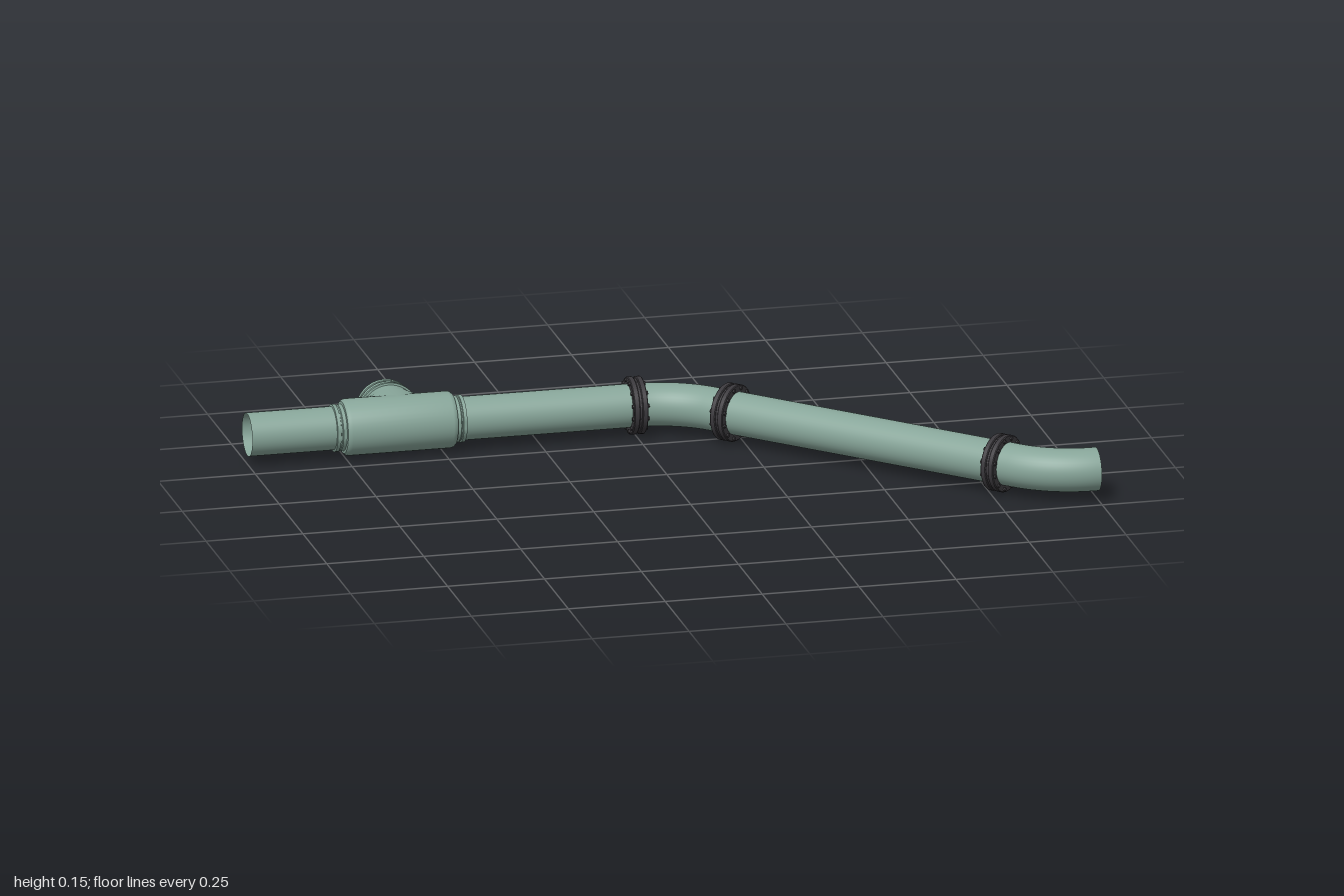
import * as THREE from 'three';
import { toCreasedNormals } from 'three/addons/utils/BufferGeometryUtils.js';

const Y = 0.078, R = 0.055, BEND = 0.25;
const Z0 = -0.335, Z1 = 0.443;
const T = BEND * Math.tan(Math.PI / 8), S = Math.SQRT1_2;

const paint = new THREE.MeshStandardMaterial({ color: 0x87a599, side: THREE.DoubleSide });
const dark = new THREE.MeshStandardMaterial({ color: 0x3b393d });
const wheelPaint = new THREE.MeshStandardMaterial({ color: 0x1f3a31 });

const v = (x, z) => new THREE.Vector3(x, Y, z);
const lathe = (pts, seg = 40) =>
  new THREE.LatheGeometry(pts.map(([r, h]) => new THREE.Vector2(r, h)), seg);

function add(parent, name, geo, mat) {
  const m = new THREE.Mesh(geo, mat);
  m.name = name;
  parent.add(m);
  return m;
}

// open straight pipe between two points
function pipe(parent, name, a, b) {
  const d = b.clone().sub(a);
  const m = add(parent, name, new THREE.CylinderGeometry(R, R, d.length(), 40, 1, true), paint);
  m.position.copy(a).addScaledVector(d, 0.5);
  m.quaternion.setFromUnitVectors(new THREE.Vector3(0, 1, 0), d.normalize());
}

// 45 degree bend lying flat, starting at the given angle around its centre
function bend(parent, name, cx, cz, start) {
  const g = new THREE.TorusGeometry(BEND, R, 40, 16, Math.PI / 4);
  g.rotateZ(start).rotateX(Math.PI / 2);
  add(parent, name, g, paint).position.set(cx, Y, cz);
}

// pair of bolted rings around the pipe; angle turns its axis from +x towards +z
function flange(parent, name, x, z, angle) {
  const g = new THREE.Group();
  g.name = name;
  const ring = toCreasedNormals(lathe([
    [R - 0.002, -0.0075], [0.071, -0.0075], [0.073, -0.0055],
    [0.073, 0.0055], [0.071, 0.0075], [R - 0.002, 0.0075]]), 0.6);
  for (const s of [-1, 1]) add(g, 'flangeRing', ring, dark).position.y = s * 0.0105;
  add(g, 'gasket', new THREE.CylinderGeometry(0.069, 0.069, 0.008, 40, 1, true), dark);
  const bolt = toCreasedNormals(new THREE.CylinderGeometry(0.005, 0.005, 0.044, 6), 0.5);
  for (let i = 0; i < 12; i++) {
    const a = (i + 0.5) * Math.PI / 6;
    add(g, 'bolt', bolt, dark).position.set(0.0645 * Math.cos(a), 0, 0.0645 * Math.sin(a));
  }
  g.rotation.set(0, -angle, -Math.PI / 2);
  g.position.set(x, Y, z);
  parent.add(g);
}

function valve() {
  const g = new THREE.Group();
  g.name = 'valve';

  // body along the pipe, with stepped collars at both ends
  const half = [[0.072, 0.13], [0.0705, 0.137], [0.066, 0.142], [0.059, 0.143], [0.059, 0.152],
    [0.057, 0.154], [0.057, 0.157], [0.06, 0.158], [0.06, 0.167], [R, 0.168]];
  const profile = [...half.map(([r, h]) => [r, -h]).reverse(), ...half];
  add(g, 'valveBody', toCreasedNormals(lathe(profile), 0.6).rotateZ(-Math.PI / 2), paint);

  // branch neck, flared lengthwise where it meets the body
  const neck = lathe([[0.072, 0], [0.072, 0.05], [0.072, 0.062], [0.072, 0.075], [0.072, 0.09],
    [0.077, 0.091], [0.077, 0.099], [0.072, 0.1]]);
  const p = neck.attributes.position;
  for (let i = 0; i < p.count; i++) {
    const k = Math.min(1, Math.max(0, (0.09 - p.getY(i)) / 0.04));
    p.setX(i, p.getX(i) * (1 + 0.42 * k * k));
  }
  add(g, 'branchNeck', toCreasedNormals(neck, 0.7).rotateX(-Math.PI / 2), paint);

  // ribbed cap closing the branch
  const cap = lathe([[0.072, 0.098], [0.073, 0.101], [0.073, 0.119], [0.072, 0.12], [0.069, 0.121],
    [0.069, 0.125], [0.073, 0.126], [0.073, 0.138], [0.071, 0.14], [0.058, 0.14],
    [0.056, 0.137], [0, 0.137]]);
  add(g, 'branchCap', toCreasedNormals(cap, 0.6).rotateX(-Math.PI / 2), paint);

  // stem and hand wheel
  const stem = lathe([[0.017, 0.135], [0.017, 0.147], [0.014, 0.15], [0.008, 0.15],
    [0.008, 0.164], [0, 0.164]], 20);
  add(g, 'stem', toCreasedNormals(stem, 0.6).rotateX(-Math.PI / 2), wheelPaint);
  const wheel = new THREE.Group();
  wheel.name = 'handWheel';
  add(wheel, 'rim', new THREE.TorusGeometry(0.043, 0.0045, 10, 40), wheelPaint);
  add(wheel, 'hub', toCreasedNormals(new THREE.CylinderGeometry(0.013, 0.013, 0.009, 20), 0.6)
    .rotateX(Math.PI / 2), wheelPaint);
  for (let i = 0; i < 5; i++) {
    const spoke = new THREE.BoxGeometry(0.007, 0.034, 0.005).translate(0, 0.026, 0);
    add(wheel, 'spoke', spoke, wheelPaint).rotation.z = i * Math.PI * 0.4;
  }
  wheel.position.z = -0.1605;
  g.add(wheel);
  return g;
}

export function createModel() {
  const model = new THREE.Group();
  model.name = 'pipeline';

  // corners of the pipe run, rounded by the two bends
  const c1 = 0.108, c2 = c1 + Z1 - Z0;
  pipe(model, 'inletPipe', v(-1, Z0), v(c1 - T, Z0));
  bend(model, 'firstBend', c1 - T, Z0 + BEND, -Math.PI / 2);
  pipe(model, 'diagonalPipe', v(c1 + T * S, Z0 + T * S), v(c2 - T * S, Z1 - T * S));
  bend(model, 'secondBend', c2 + T, Z1 - BEND, Math.PI / 2);
  pipe(model, 'outletPipe', v(c2 + T, Z1), v(1, Z1));

  flange(model, 'inletFlange', 0, Z0, 0);
  flange(model, 'upperFlange', c1 + 0.112, Z0 + 0.112, Math.PI / 4);
  flange(model, 'lowerFlange', c2 - 0.106, Z1 - 0.106, Math.PI / 4);

  const tee = valve();
  tee.position.set(-0.613, Y, Z0);
  model.add(tee);
  return model;
}
